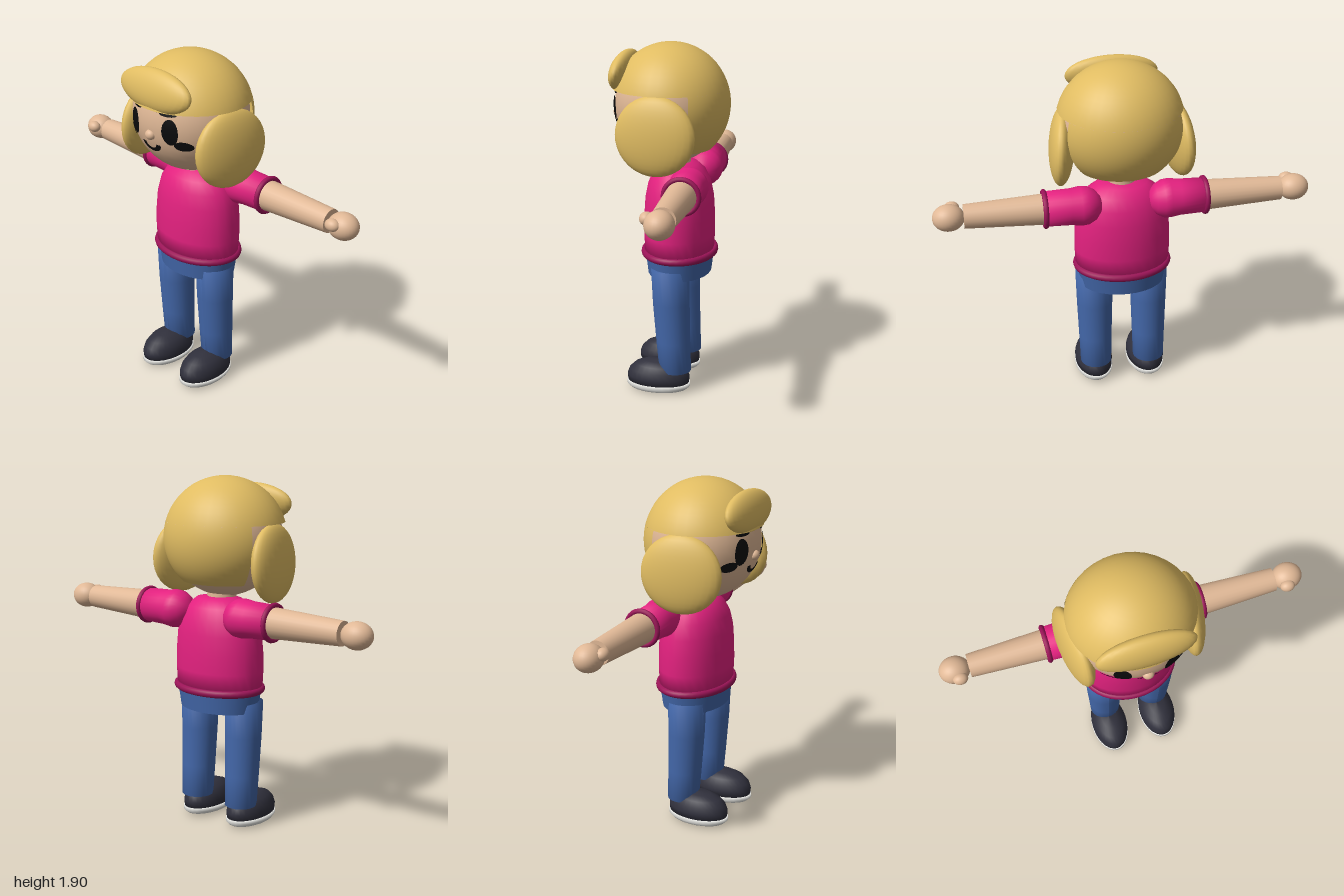
import * as THREE from 'three';

const mat = (name, color) => {
  const m = new THREE.MeshStandardMaterial({ color, side: THREE.DoubleSide });
  m.name = name;
  return m;
};

export function createModel() {
  const root = new THREE.Group();
  root.name = 'figure';
  const skin = mat('skin', 0xe0b896);
  const hair = mat('blond hair', 0xe0bc62);
  const pink = mat('pink shirt', 0xe3217f);
  const trim = mat('dark pink trim', 0x9c1458);
  const denim = mat('blue denim', 0x4367a9);
  const shoe = mat('dark shoe', 0x30303c);
  const white = mat('white sole', 0xe8e8e4);
  const black = mat('black', 0x0b0b0c);

  const add = (name, geo, material, parent = root, pos = [0, 0, 0], scale = [1, 1, 1], rot = [0, 0, 0]) => {
    const mesh = new THREE.Mesh(geo, material);
    mesh.name = name;
    mesh.position.set(...pos);
    mesh.scale.set(...scale);
    mesh.rotation.set(...rot);
    parent.add(mesh);
    return mesh;
  };
  const ball = () => new THREE.SphereGeometry(1, 28, 18);
  const lathe = (pts, n = 28) => new THREE.LatheGeometry(pts.map((p) => new THREE.Vector2(...p)), n);

  // Head and neck
  const HEAD = { y: 1.58, z: 0, rx: 0.315, ry: 0.312, rz: 0.295 };
  const head = new THREE.Group();
  head.name = 'head';
  root.add(head);
  add('face', new THREE.SphereGeometry(1, 36, 24), skin, head, [0, HEAD.y, HEAD.z], [HEAD.rx, HEAD.ry, HEAD.rz]);
  add('neck', new THREE.CylinderGeometry(0.075, 0.085, 0.14, 20), skin, head, [0, 1.26, -0.03]);
  add('nose', ball(), skin, head, [0, 1.525, 0.287], [0.03, 0.027, 0.026]);

  // Face details: flat rings laid onto the curve of the head
  const paint = (name, geo, cx, cy, sx, sy) => {
    const p = geo.attributes.position;
    for (let i = 0; i < p.count; i++) {
      const x = cx + p.getX(i) * sx, y = cy + p.getY(i) * sy;
      const k = 1 - (x / HEAD.rx) ** 2 - ((y - HEAD.y) / HEAD.ry) ** 2;
      p.setXYZ(i, x, y, HEAD.z + HEAD.rz * Math.sqrt(Math.max(k, 0)) + 0.006);
    }
    geo.computeVertexNormals();
    add(name, geo, black, head);
  };
  const disc = () => new THREE.RingGeometry(0.001, 1, 24, 4);
  for (const s of [1, -1]) {
    paint('eye', disc(), s * 0.125, 1.565, 0.042, 0.07);
    paint('cheek', disc(), s * 0.182, 1.494, 0.042, 0.027);
    paint('brow', disc(), s * 0.11, 1.656, 0.045, 0.011);
  }
  paint('mouth', new THREE.RingGeometry(0.036, 0.064, 20, 2, Math.PI - 0.05, Math.PI + 0.1), 0, 1.478, 1, 0.72);

  // Hair: crown, back shell, fringe and side locks
  const hairSize = [0.337, 0.325, 0.317];
  const crownEnd = Math.acos((1.665 - HEAD.y) / 0.325);
  const backEnd = Math.acos((1.35 - HEAD.y) / 0.325);
  add('hairCrown', new THREE.SphereGeometry(1, 36, 12, 0, Math.PI * 2, 0, crownEnd), hair, head, [0, HEAD.y, 0], hairSize);
  add('hairBack', new THREE.SphereGeometry(1, 24, 12, Math.PI + 0.5, Math.PI - 1, crownEnd, backEnd - crownEnd),
    hair, head, [0, HEAD.y, 0], hairSize);
  add('fringe', ball(), hair, head, [0, 1.753, 0.25], [0.25, 0.107, 0.058], [-0.22, 0, 0]);
  for (const s of [1, -1]) {
    add('sideLock', ball(), hair, head, [s * 0.305, 1.462, 0.02], [0.068, 0.207, 0.217], [0, -s * 0.15, s * 0.05]);
  }

  // Shirt body and hem
  add('shirt', lathe([[0, 0.77], [0.255, 0.77], [0.261, 0.88], [0.259, 0.98], [0.25, 1.08], [0.228, 1.16],
    [0.19, 1.22], [0.135, 1.26], [0.07, 1.272], [0, 1.272]]), pink, root, [0, 0, -0.05], [1, 1, 0.73]);
  const hem = new THREE.TorusGeometry(0.25, 0.02, 10, 40);
  hem.rotateX(Math.PI / 2);
  add('shirtHem', hem, trim, root, [0, 0.777, -0.052], [1, 1, 0.77]);

  // Hips
  add('hips', new THREE.CylinderGeometry(0.25, 0.232, 0.12, 28), denim, root, [0, 0.72, -0.052], [1, 1, 0.74]);

  for (const s of [1, -1]) {
    const side = s > 0 ? 'left' : 'right';

    // Arm: a bar along x, in a sleeve with a round shoulder
    const arm = new THREE.Group();
    arm.name = side + 'Arm';
    arm.position.set(0, 1.188, -0.142);
    root.add(arm);
    const across = [0, 0, -s * Math.PI / 2];
    add('forearm', new THREE.CylinderGeometry(0.063, 0.083, 0.46, 24), skin, arm, [s * 0.61, 0, 0], [1, 1, 1], across);
    add('hand', ball(), skin, arm, [s * 0.917, 0, 0], [0.083, 0.07, 0.073]);
    add('thumb', ball(), skin, arm, [s * 0.897, 0.022, 0.065], [0.04, 0.032, 0.033]);
    add('sleeve', lathe([[0, 0.12], [0.045, 0.132], [0.08, 0.16], [0.101, 0.2], [0.104, 0.235], [0.096, 0.29],
      [0.092, 0.425], [0, 0.425]]), pink, arm, [0, 0, 0], [1, 1, 1], across);
    add('cuff', new THREE.TorusGeometry(0.09, 0.014, 10, 28), trim, arm, [s * 0.424, 0, 0], [1, 1, 1], [0, Math.PI / 2, 0]);

    // Leg: tapered, leaning back below the knee
    const leg = new THREE.Group();
    leg.name = side + 'Leg';
    leg.position.x = s * 0.153;
    root.add(leg);
    const trouser = lathe([[0, 0.125], [0.088, 0.125], [0.093, 0.3], [0.1, 0.52], [0.104, 0.71], [0, 0.71]], 24);
    const p = trouser.attributes.position;
    for (let i = 0; i < p.count; i++) {
      p.setZ(i, p.getZ(i) - 0.03 - 0.027 * Math.min(1, (0.71 - p.getY(i)) / 0.58) ** 1.5);
    }
    trouser.computeVertexNormals();
    add('trouserLeg', trouser, denim, leg);

    // Shoe
    add('shoeUpper', lathe([[0, 0.045], [0.104, 0.045], [0.106, 0.085], [0.098, 0.12], [0.079, 0.15],
      [0.045, 0.172], [0, 0.178]]), shoe, leg, [0, 0, 0.037], [1, 1, 1.65]);
    add('shoeSole', lathe([[0, 0.004], [0.07, 0.006], [0.098, 0.016], [0.108, 0.032], [0.107, 0.052], [0, 0.054]]),
      white, leg, [0, 0, 0.037], [1, 1, 1.65]);
  }
  return root;
}
